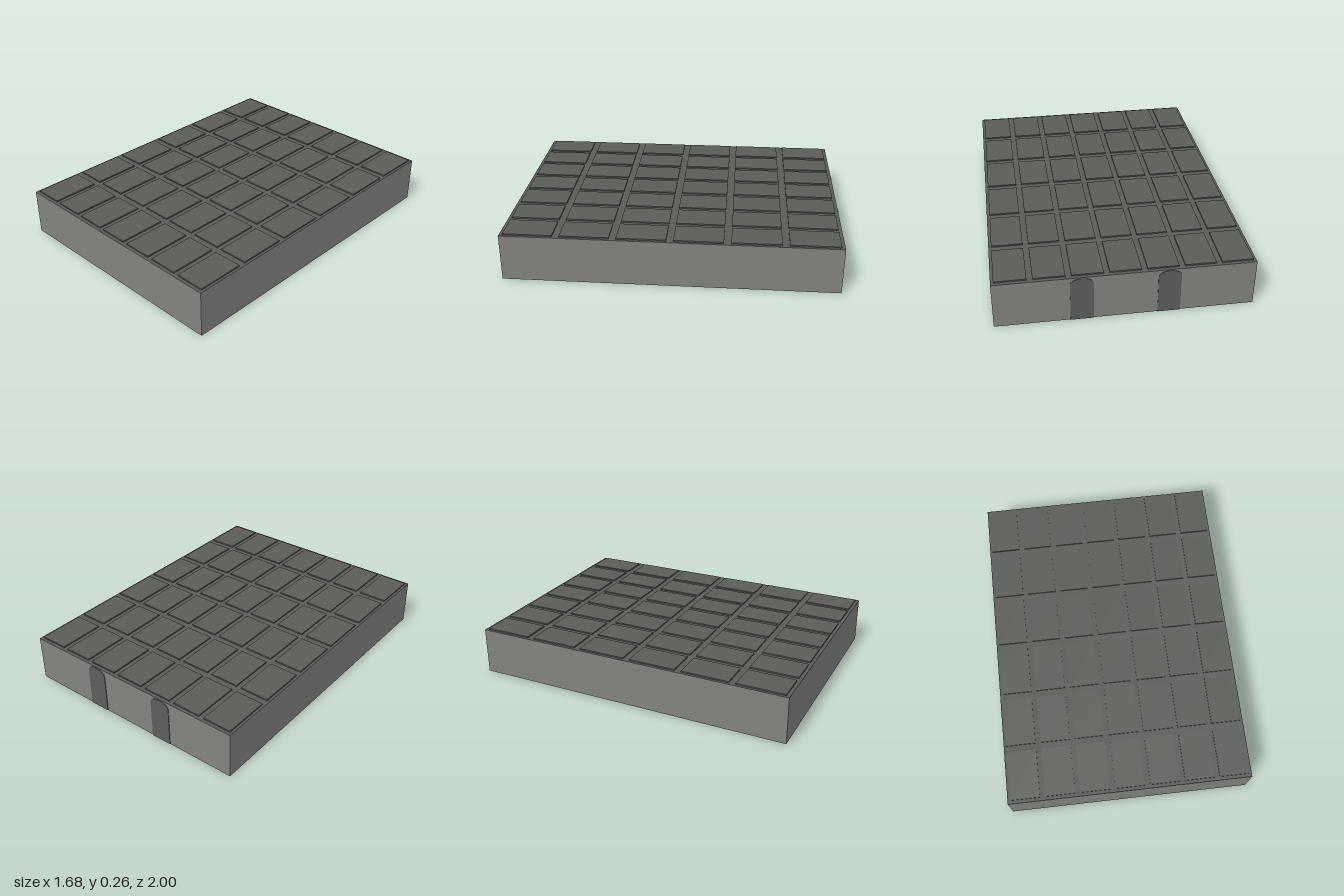
import * as THREE from 'three';

const WIDTH = 1.29, LENGTH = 1.734, HEIGHT = 0.25;
const COLUMNS = 7, ROWS = 6, GAP = 0.028, TILE = 0.007;

const material = (name, color) => {
  const m = new THREE.MeshStandardMaterial({ color, side: THREE.DoubleSide });
  m.name = name;
  return m;
};

export function createModel() {
  const wallGrey = material('wall grey', 0x82847f);
  const roofGrey = material('roof grey', 0x595c57);
  const doorGrey = material('door grey', 0x5e5f5c);

  const model = new THREE.Group();
  model.name = 'building';
  const add = (name, geometry, mat, x, y, z, parent = model) => {
    const mesh = new THREE.Mesh(geometry, mat);
    mesh.name = name;
    mesh.position.set(x, y, z);
    parent.add(mesh);
    return mesh;
  };

  // Four sheet walls, open at the bottom
  const walls = [
    ['frontWall', WIDTH, 0, LENGTH / 2, 0],
    ['leftWall', LENGTH, WIDTH / 2, 0, Math.PI / 2],
    ['backWall', WIDTH, 0, -LENGTH / 2, Math.PI],
    ['rightWall', LENGTH, -WIDTH / 2, 0, -Math.PI / 2],
  ];
  for (const [name, width, x, z, turn] of walls) {
    add(name, new THREE.PlaneGeometry(width, HEIGHT), wallGrey, x, HEIGHT / 2, z).rotation.y = turn;
  }

  // Flat roof sheet
  add('roof', new THREE.PlaneGeometry(WIDTH, LENGTH), roofGrey, 0, HEIGHT, 0).rotation.x = -Math.PI / 2;

  // Grid of slightly raised roof panels
  const panels = new THREE.Group();
  panels.name = 'roofPanels';
  model.add(panels);
  const cellX = WIDTH / COLUMNS, cellZ = LENGTH / ROWS;
  const panel = new THREE.BoxGeometry(cellX - GAP, TILE, cellZ - GAP * 1.3);
  for (let c = 0; c < COLUMNS; c++) {
    for (let r = 0; r < ROWS; r++) {
      add('roofPanel', panel, roofGrey,
        (c + 0.5) * cellX - WIDTH / 2, HEIGHT + TILE / 2, (r + 0.5) * cellZ - LENGTH / 2, panels);
    }
  }

  // Two tall arched doors on the back wall
  const half = 0.057, top = 0.246, spring = 0.212;
  const arch = new THREE.Shape();
  arch.moveTo(-half, 0);
  arch.lineTo(half, 0);
  arch.lineTo(half, spring);
  arch.absellipse(0, spring, half, top - spring, 0, Math.PI, false);
  arch.lineTo(-half, 0);
  const door = new THREE.ExtrudeGeometry(arch, { depth: 0.003, bevelEnabled: false, curveSegments: 10 });
  for (const side of [-1, 1]) {
    add(side > 0 ? 'leftDoor' : 'rightDoor', door, doorGrey, side * WIDTH / 6, 0, -LENGTH / 2).rotation.y = Math.PI;
  }

  // The whole block stands turned on its site
  model.rotation.y = -Math.atan2(0.32, 1.25);
  const group = new THREE.Group();
  group.name = 'model';
  group.add(model);
  return group;
}
